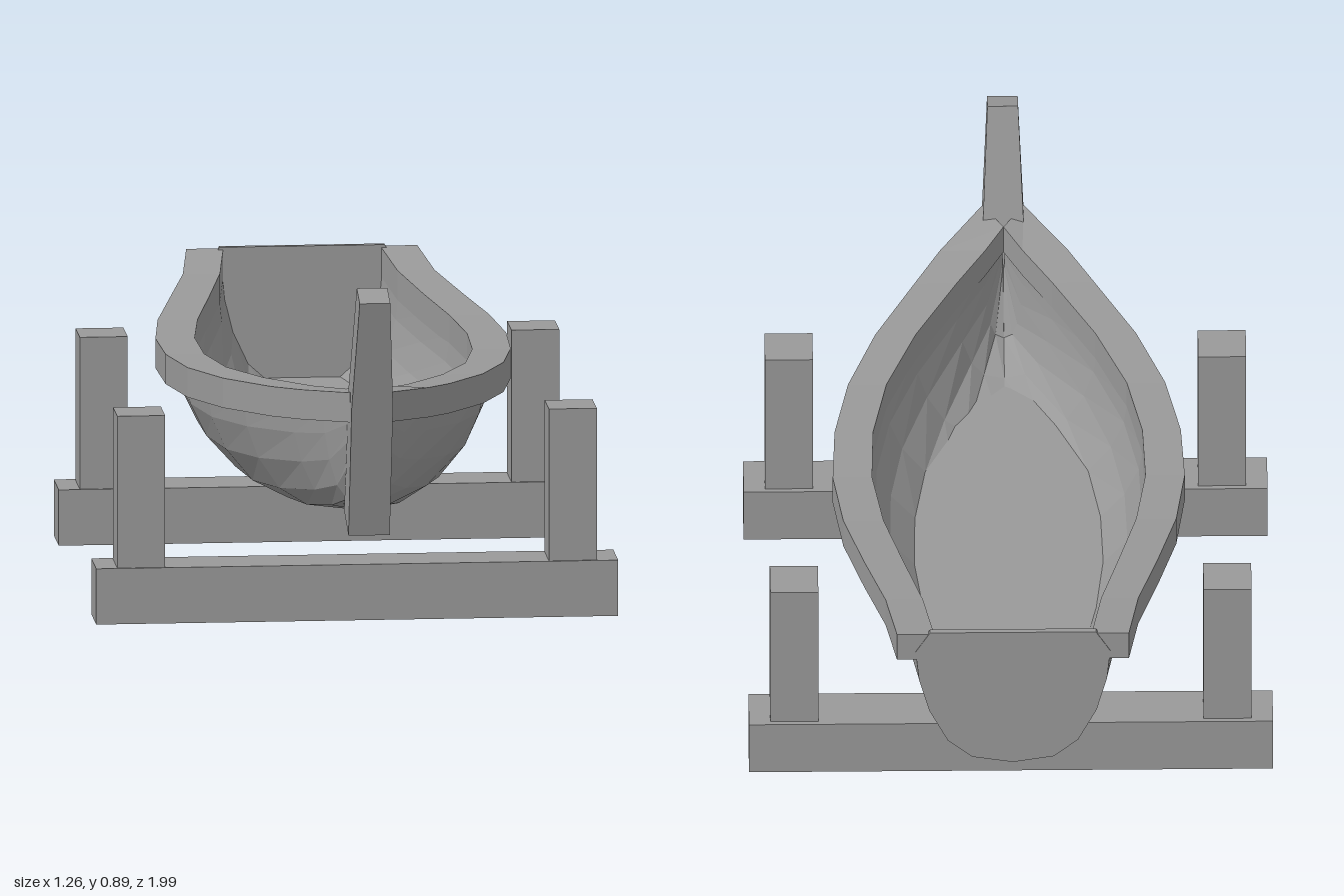
import * as THREE from 'three';

const timber = new THREE.MeshStandardMaterial({ color: 0x999999, side: THREE.DoubleSide, flatShading: true });
timber.name = 'grey timber';

// Stations along the boat: z of outer edge, z of inner edge, rail outer and inner half-width,
// rail top height, keel height, floor half-width
const stations = [
  [-0.99, -0.99, 0.28, 0.19, 0.63, 0.26, 0.14],
  [-0.8, -0.8, 0.305, 0.215, 0.605, 0.243, 0.165],
  [-0.6, -0.6, 0.355, 0.26, 0.585, 0.232, 0.205],
  [-0.4, -0.4, 0.402, 0.305, 0.57, 0.227, 0.24],
  [-0.2, -0.2, 0.425, 0.33, 0.563, 0.225, 0.255],
  [0, 0, 0.418, 0.325, 0.562, 0.226, 0.25],
  [0.2, 0.2, 0.383, 0.29, 0.567, 0.23, 0.22],
  [0.4, 0.4, 0.315, 0.217, 0.578, 0.25, 0.165],
  [0.6, 0.6, 0.217, 0.115, 0.594, 0.287, 0.07],
  [0.72, 0.72, 0.155, 0.045, 0.608, 0.325, 0.01],
  [0.885, 0.79, 0.05, 0, 0.63, 0.48, 0],
].map(([zo, zi, out, inn, top, keel, floor]) => ({ zo, zi, out, inn, top, keel, floor }));

// Rounded hull section as fractions of half-width and depth
const curve = [[1, 0], [0.965, 0.25], [0.86, 0.53], [0.67, 0.8], [0.42, 0.95], [0, 1]];

// Full U-shaped section, from one side over the keel to the other
function uSection(hw, top, keel, z) {
  const half = curve.map(([u, v]) => [u * hw, top - v * (top - keel), z]);
  return [...half, ...half.slice(0, -1).reverse().map(([x, y]) => [-x, y, z])];
}

// Joins cross-sections of equal point count into a surface
function loft(name, sections, closed = true, caps = true) {
  const pos = [];
  const tri = (a, b, c) => pos.push(...a, ...b, ...c);
  const n = sections[0].length;
  for (let i = 0; i < sections.length - 1; i++) {
    const a = sections[i], b = sections[i + 1];
    for (let j = 0; j < (closed ? n : n - 1); j++) {
      const k = (j + 1) % n;
      tri(a[j], b[j], b[k]);
      tri(a[j], b[k], a[k]);
    }
  }
  if (closed && caps) {
    const first = sections[0], last = sections[sections.length - 1];
    for (let j = 1; j < n - 1; j++) {
      tri(first[0], first[j], first[j + 1]);
      tri(last[0], last[j + 1], last[j]);
    }
  }
  const g = new THREE.BufferGeometry();
  g.setAttribute('position', new THREE.Float32BufferAttribute(pos, 3));
  g.computeVertexNormals();
  const mesh = new THREE.Mesh(g, timber);
  mesh.name = name;
  return mesh;
}

function box(name, w, h, d, x, y, z) {
  const mesh = new THREE.Mesh(new THREE.BoxGeometry(w, h, d), timber);
  mesh.name = name;
  mesh.position.set(x, y, z);
  return mesh;
}

export function createModel() {
  const model = new THREE.Group();
  model.name = 'boatOnCradle';

  // Hull shell: outer skin and inner skin joined under the rail
  model.add(loft('hull', stations.map((s) => {
    const z = (s.zo + s.zi) / 2;
    const outer = uSection((s.out + s.inn) / 2, s.top - 0.05, s.keel, z);
    const inner = uSection(s.inn + 0.003, s.top - 0.05, s.keel + 0.03, s.zi);
    return [...outer, ...inner.reverse()];
  }), true, false));

  // Flat floor inside the hull
  model.add(loft('floor', stations.slice(0, -1).map((s) => [
    [-s.floor, 0.312, s.zo], [s.floor, 0.312, s.zo],
  ]), false));

  // Rails along both top edges
  for (const side of [1, -1]) {
    model.add(loft(side > 0 ? 'leftRail' : 'rightRail', stations.map((s) => {
      const p = [
        [side * s.out, s.top, s.zo], [side * s.inn, s.top, s.zi],
        [side * s.inn, s.top - 0.073, s.zi], [side * s.out, s.top - 0.073, s.zo],
      ];
      return side > 0 ? p : p.reverse();
    })));
  }

  // Transom closing the stern
  const t = stations[0];
  const rim = uSection((t.out + t.inn) / 2, t.top - 0.05, t.keel, 0).map(([x, y]) => new THREE.Vector2(x, y));
  rim.push(new THREE.Vector2(-0.2, 0.635), new THREE.Vector2(0.2, 0.635));
  const transom = new THREE.Mesh(
    new THREE.ExtrudeGeometry(new THREE.Shape(rim), { depth: 0.015, bevelEnabled: false }), timber);
  transom.name = 'transom';
  transom.position.z = -0.992;
  model.add(transom);

  // Raked stem post: front z, front y, back z, back y, half-width
  model.add(loft('stemPost', [
    [0.84, 0.27, 0.72, 0.31, 0.05],
    [0.888, 0.45, 0.785, 0.45, 0.05],
    [0.928, 0.6, 0.815, 0.6, 0.05],
    [1, 0.87, 0.92, 0.893, 0.037],
  ].map(([zf, yf, zb, yb, w]) => [[-w, yf, zf], [-w, yb, zb], [w, yb, zb], [w, yf, zf]])));

  // Cradle: two cross beams with a post at each end
  for (const [place, z] of [['front', 0.45], ['back', -0.568]]) {
    model.add(box(place + 'Beam', 1.265, 0.137, 0.135, 0, 0.0685, z));
    for (const side of [1, -1]) {
      model.add(box(place + (side > 0 ? 'LeftPost' : 'RightPost'),
        0.116, 0.373, 0.116, side * 0.523, 0.3235, z + 0.004));
    }
  }
  return model;
}
